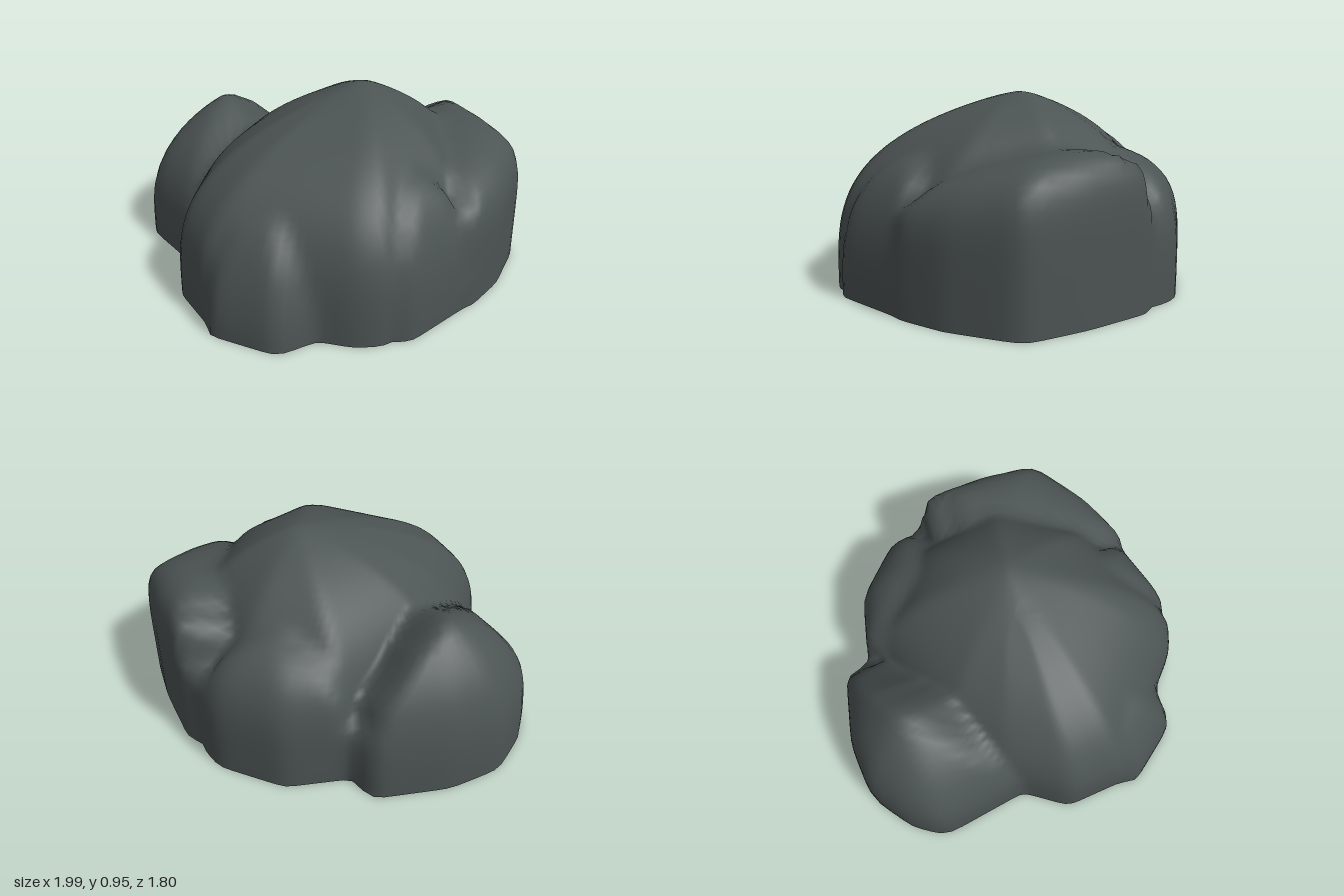
import * as THREE from 'three';

// Each lobe shrinks from its footprint (corners [x, z]) to its apex [x, height, z]
// by the rule scale = (1 - u^bulge)^round. A tilt lowers the lobe toward +z.
const lobes = [
  { // main dome
    apex: [0.2, 0.955, -0.14], bulge: 3.5, round: 0.85,
    foot: [[-0.59, 0.25], [-0.52, 0.6], [-0.3, 0.78], [0.42, 0.745], [0.55, 0.69],
      [0.8, 0.1], [0.7, -0.5], [0.2, -0.77], [-0.3, -0.68], [-0.57, -0.1]],
  },
  { // rear shoulder
    apex: [0.08, 0.68, -0.6], bulge: 5, round: 0.8,
    foot: [[0.38, -0.84], [0.26, -0.9], [-0.09, -0.88], [-0.36, -0.7], [-0.2, -0.3], [0.35, -0.3]],
  },
  { // -x side boulder
    apex: [-0.61, 0.765, -0.28], bulge: 3.2, round: 1,
    foot: [[-1, -0.1], [-0.96, 0.08], [-0.58, 0.34], [-0.25, 0], [-0.37, -0.71], [-0.48, -0.78], [-0.8, -0.56], [-0.97, -0.35]],
  },
  { // +x side boulder
    apex: [0.62, 0.72, -0.35], bulge: 8, round: 0.45, tilt: 0.18,
    foot: [[0.86, 0.28], [0.96, 0], [1, -0.36], [0.78, -0.58], [0.5, -0.8], [0.4, -0.8], [0.35, 0]],
  },
  { // front bulge
    apex: [-0.06, 0.6, 0.5], bulge: 1.8, round: 0.45,
    foot: [[-0.31, 0.72], [-0.24, 0.87], [0.12, 0.91], [0.28, 0.72], [-0.05, 0.2]],
  },
  { // front corner on the +x side
    apex: [0.55, 0.68, 0.25], bulge: 3, round: 0.6,
    foot: [[0.42, 0.64], [0.65, 0.63], [0.87, 0.22], [0.4, 0]],
  },
];

function insideLobe({ apex, foot, bulge, round, tilt = 0 }, x, y, z) {
  const u = y / (apex[1] - tilt * (z - apex[2]));
  if (u >= 1) return false;
  const s = (1 - u ** bulge) ** round;
  const px = apex[0] + (x - apex[0]) / s, pz = apex[2] + (z - apex[2]) / s;
  let inside = false;
  for (let i = 0, j = foot.length - 1; i < foot.length; j = i++) {
    const [xi, zi] = foot[i], [xj, zj] = foot[j];
    if ((zi > pz) !== (zj > pz) && px < (xj - xi) * (pz - zi) / (zj - zi) + xi) inside = !inside;
  }
  return inside;
}

// Distance from the base centre to the outermost lobe surface along a direction
function reach(dx, dy, dz) {
  const hit = t => lobes.some(l => insideLobe(l, dx * t, dy * t, dz * t));
  let t = 1.4;
  while (t > 0.1 && !hit(t)) t -= 0.01;
  let lo = t, hi = t + 0.01;
  for (let k = 0; k < 8; k++) {
    const mid = (lo + hi) / 2;
    if (hit(mid)) lo = mid; else hi = mid;
  }
  return lo;
}

function rockGeometry(cols = 120, rows = 36) {
  const dir = (i, j) => {
    const e = (i / rows) * Math.PI / 2, a = (j / cols) * Math.PI * 2;
    return [Math.cos(e) * Math.sin(a), Math.sin(e), Math.cos(e) * Math.cos(a)];
  };
  let radii = [];
  for (let i = 0; i < rows; i++) {
    radii.push(Array.from({ length: cols }, (_, j) => reach(...dir(i, j))));
  }
  const top = reach(0, 1, 0);

  // Soften the creases where lobes meet
  for (let pass = 0; pass < 2; pass++) {
    radii = radii.map((row, i) => row.map((r, j) => {
      const sides = row[(j + 1) % cols] + row[(j + cols - 1) % cols];
      if (i === 0) return r * 0.8 + sides * 0.1;
      const above = i + 1 < rows ? radii[i + 1][j] : top;
      return r * 0.5 + (radii[i - 1][j] + above + sides) * 0.125;
    }));
  }

  const positions = [], index = [];
  for (let i = 0; i < rows; i++) {
    for (let j = 0; j < cols; j++) {
      positions.push(...dir(i, j).map(c => c * radii[i][j]));
      const a = i * cols + j, b = i * cols + (j + 1) % cols;
      if (i < rows - 1) index.push(a, b, b + cols, a, b + cols, a + cols);
      else index.push(a, b, rows * cols);
    }
  }
  positions.push(0, top, 0);

  const geometry = new THREE.BufferGeometry();
  geometry.setAttribute('position', new THREE.Float32BufferAttribute(positions, 3));
  geometry.setIndex(index);
  geometry.computeVertexNormals();
  return geometry;
}

export function createModel() {
  const group = new THREE.Group();
  group.name = 'rock';
  const stone = new THREE.MeshStandardMaterial({ color: 0x4c5353, side: THREE.DoubleSide });
  stone.name = 'dark grey stone';
  // Open-bottomed stone shell
  const shell = new THREE.Mesh(rockGeometry(), stone);
  shell.name = 'rockShell';
  group.add(shell);
  return group;
}
